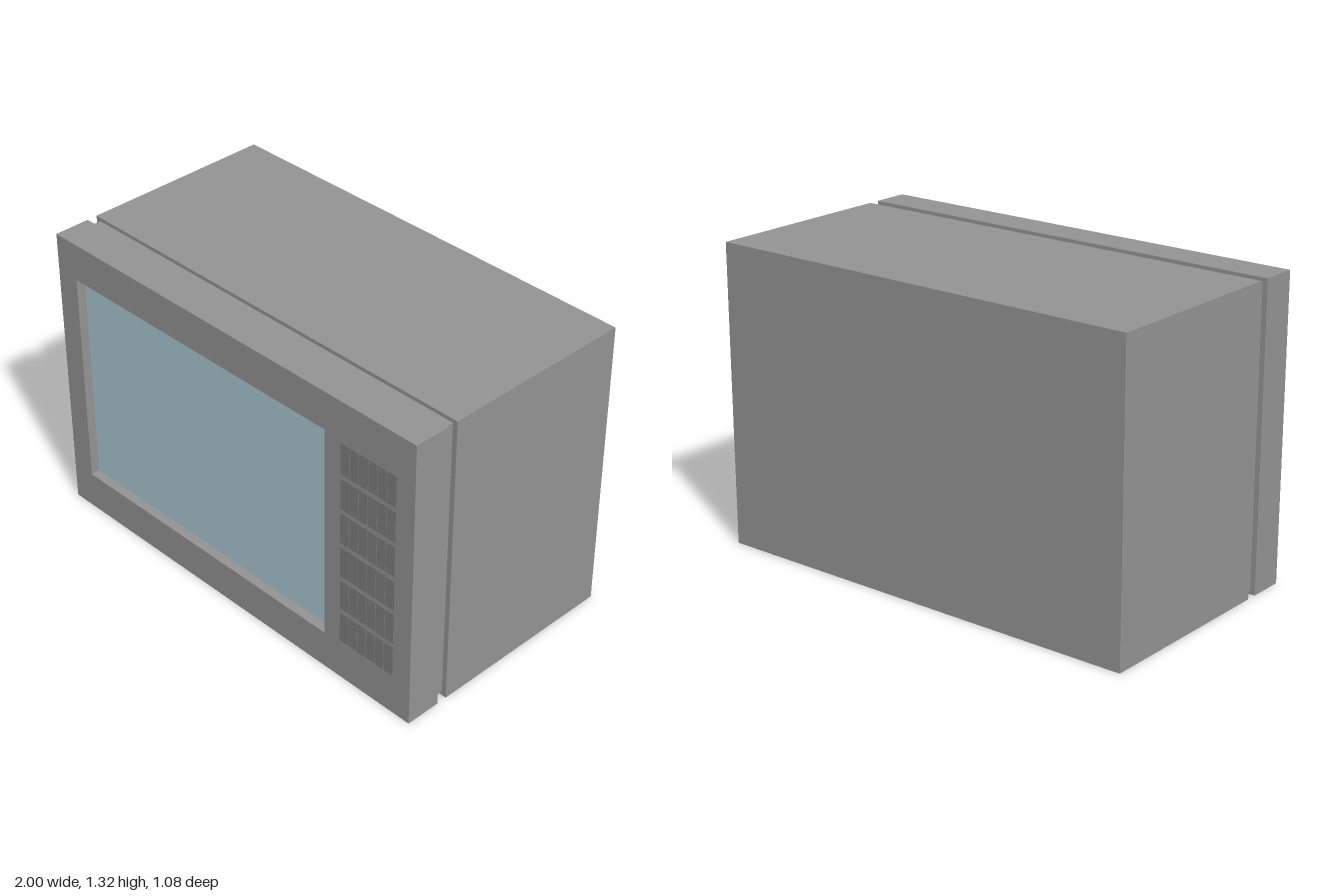
import * as THREE from 'three';

const H = 1.315, BACK = -0.537, FRONT = 0.537;
const RECESS = 0.495; // depth plane behind the front frame

const casing = new THREE.MeshStandardMaterial({ color: 0x949494 });
const grilleGrey = new THREE.MeshStandardMaterial({ color: 0x7e7e7e });
const glass = new THREE.MeshStandardMaterial({ color: 0xabc8d2 });

// Box given by its limits on each axis
function slab(name, x0, x1, y0, y1, z0, z1, material = casing) {
  const mesh = new THREE.Mesh(new THREE.BoxGeometry(x1 - x0, y1 - y0, z1 - z0), material);
  mesh.position.set((x0 + x1) / 2, (y0 + y1) / 2, (z0 + z1) / 2);
  mesh.name = name;
  return mesh;
}

function trace(path, x0, x1, y0, y1) {
  path.moveTo(x0, y0);
  path.lineTo(x1, y0);
  path.lineTo(x1, y1);
  path.lineTo(x0, y1);
  path.closePath();
  return path;
}

// Front frame with the screen opening
function frontFrame() {
  const shape = trace(new THREE.Shape(), -1, 1, 0, H);
  shape.holes.push(trace(new THREE.Path(), -0.89, 0.54, 0.17, 1.147));
  const geometry = new THREE.ExtrudeGeometry(shape, { depth: FRONT - RECESS, bevelEnabled: false });
  const mesh = new THREE.Mesh(geometry, casing);
  mesh.position.z = RECESS;
  mesh.name = 'frontFrame';
  return mesh;
}

// Six banks of thin, darker vertical slats, almost flush with the frame
function speakerGrille() {
  const grille = new THREE.Group();
  grille.name = 'speakerGrille';
  const rows = 6, columns = 6, left = 0.625, pitch = 0.0478;
  for (let r = 0; r < rows; r++) {
    const y = 0.187 + r * 0.1607;
    for (let c = 0; c < columns; c++) {
      const x = left + c * pitch;
      grille.add(slab('grilleSlat', x, x + pitch - 0.003, y, y + 0.141, FRONT - 0.01, FRONT + 0.001, grilleGrey));
    }
  }
  return grille;
}

export function createModel() {
  const model = new THREE.Group();
  model.name = 'television';
  model.add(
    slab('rearCabinet', -1, 1, 0, H, BACK, 0.33),
    // Narrow inset neck forms the groove around the cabinet
    slab('grooveNeck', -0.978, 0.978, 0.016, H - 0.016, 0.33, 0.377),
    slab('frontBacking', -1, 1, 0, H, 0.377, RECESS),
    frontFrame(),
    speakerGrille(),
    slab('screen', -0.89, 0.54, 0.17, 1.147, RECESS - 0.01, RECESS + 0.001, glass)
  );
  return model;
}
